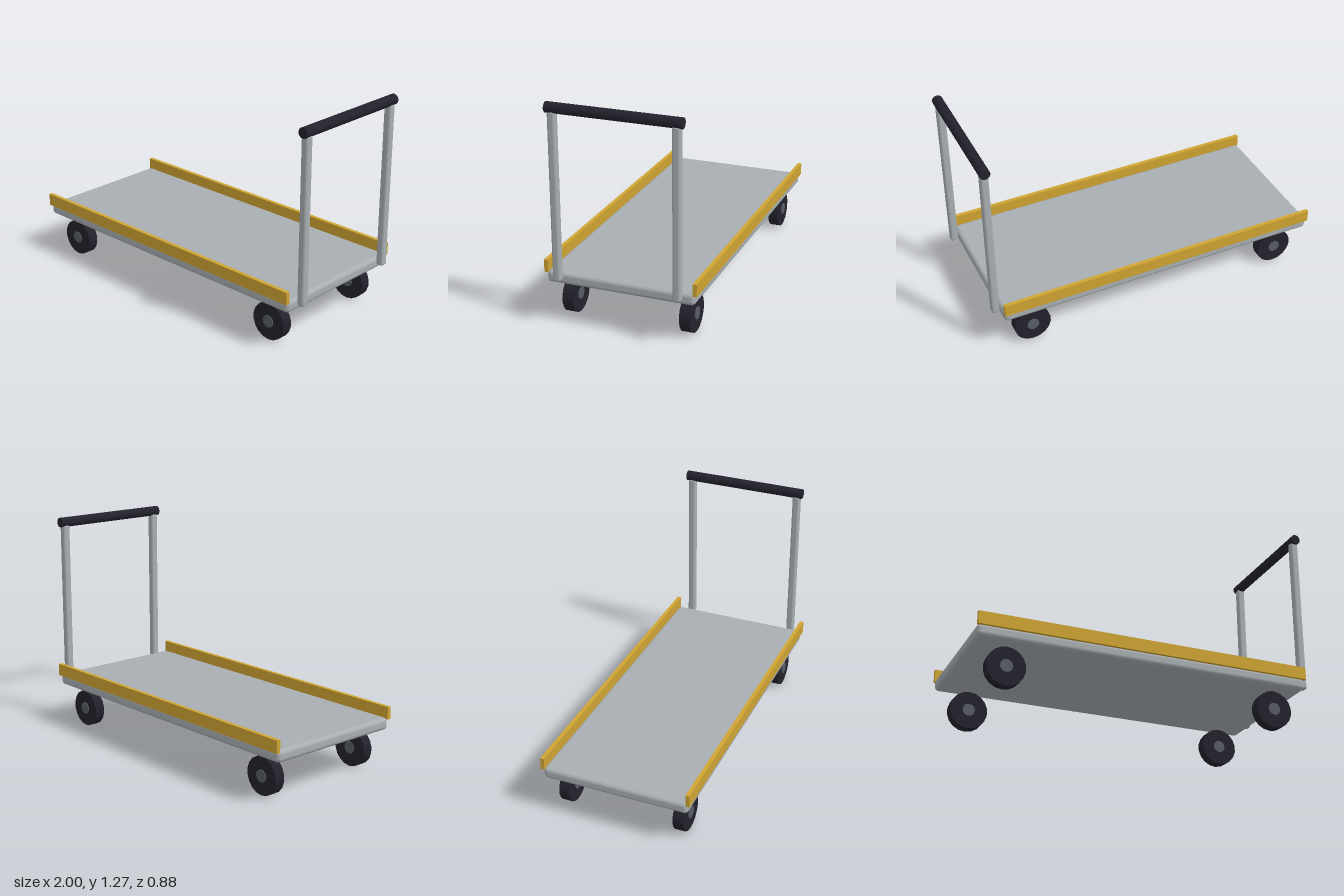
import * as THREE from 'three';
import { RoundedBoxGeometry } from 'three/addons/geometries/RoundedBoxGeometry.js';

const material = (name, color) => {
  const m = new THREE.MeshStandardMaterial({ color });
  m.name = name;
  return m;
};

export function createModel() {
  const steel = material('grey steel', 0xa8aeb2);
  const yellow = material('safety yellow', 0xcfa432);
  const rubber = material('black rubber', 0x23222d);
  const hubGrey = material('hub grey', 0x575d66);

  const group = new THREE.Group();
  group.name = 'platformCart';
  const add = (name, geometry, mat, x, y, z) => {
    const mesh = new THREE.Mesh(geometry, mat);
    mesh.name = name;
    mesh.position.set(x, y, z);
    group.add(mesh);
  };
  // Cylinder lying along z
  const axle = (radius, length, sides) =>
    new THREE.CylinderGeometry(radius, radius, length, sides).rotateX(Math.PI / 2);

  // Rounded load deck
  add('deck', new RoundedBoxGeometry(1.94, 0.07, 0.852, 3, 0.024), steel, -0.03, 0.27, 0);

  for (const [side, s] of [['front', 1], ['back', -1]]) {
    // Edge rails along both long sides
    add(side + 'Rail', new THREE.BoxGeometry(1.942, 0.072, 0.023), yellow, -0.03, 0.331, s * 0.427);

    // Handle posts
    add(side + 'HandlePost', new RoundedBoxGeometry(0.046, 0.957, 0.046, 3, 0.014), steel, 0.969, 0.749, s * 0.343);

    // Wheels with slightly protruding hubs
    for (const [end, x] of [['Left', 0.76], ['Right', -0.82]]) {
      add(side + end + 'Wheel', axle(0.109, 0.062, 18), rubber, x, 0.109, s * 0.342);
      add(side + end + 'Hub', axle(0.036, 0.071, 12), hubGrey, x, 0.11, s * 0.343);
    }
  }

  // Cross grip on top of the posts
  add('handleGrip', axle(0.03, 0.755, 12), rubber, 0.97, 1.242, 0);

  return group;
}
